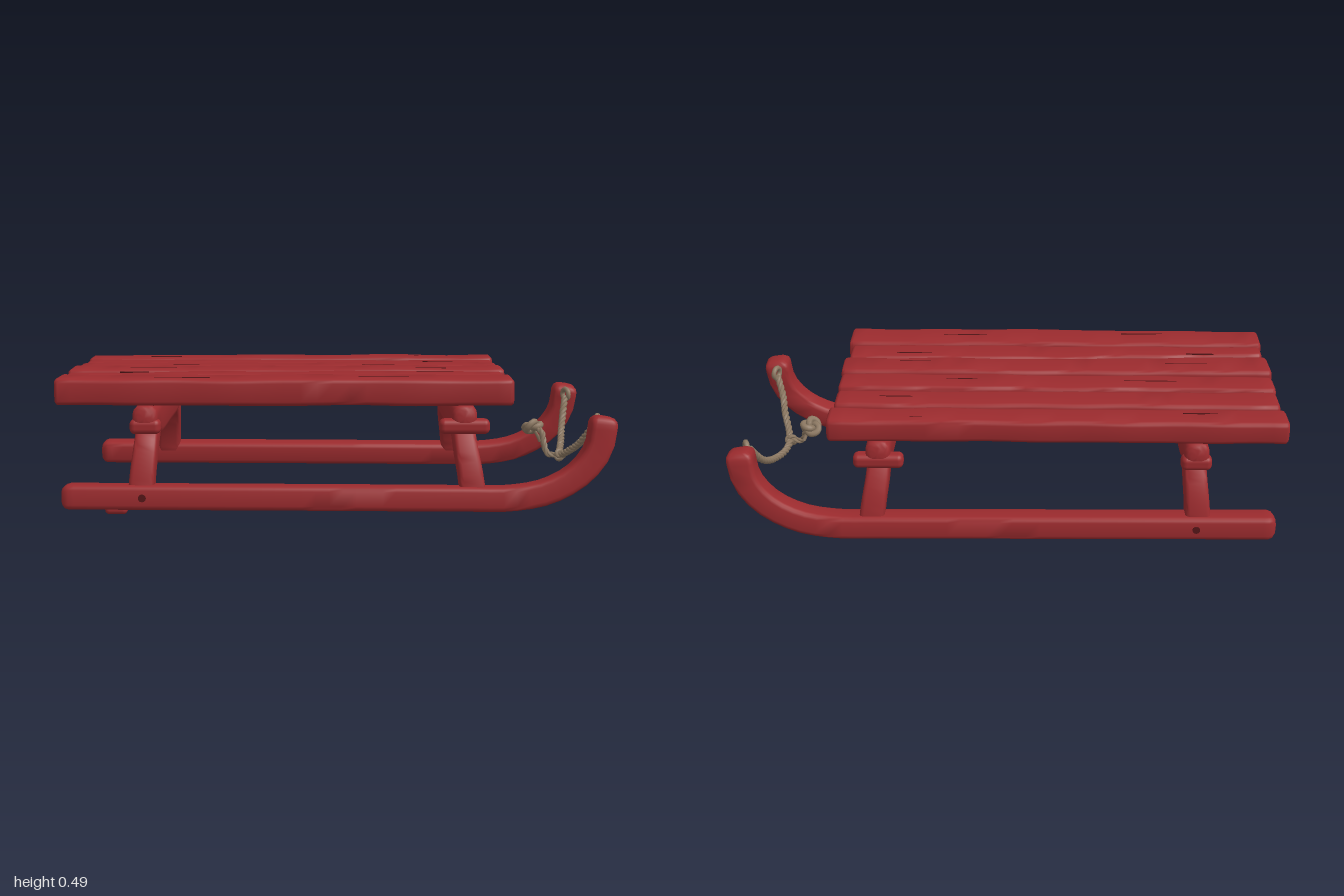
import * as THREE from 'three';
import { toCreasedNormals } from 'three/addons/utils/BufferGeometryUtils.js';
import { RoundedBoxGeometry } from 'three/addons/geometries/RoundedBoxGeometry.js';

const V = (x, y, z) => new THREE.Vector3(x, y, z);

function seeded(seed) {
  let s = seed;
  return () => (s = (s * 16807) % 2147483647) / 2147483647;
}

// Rounded bar along a path; half(u) gives [half size across, half size along "side"]
function bar(points, side, half, { n = 16, corner = 0.02, end = 0.02 } = {}) {
  const curve = new THREE.CatmullRomCurve3(points, false, 'centripetal');
  const length = curve.getLength();
  const stations = [];
  const tips = [0, 0.13, 0.5, 1].map(d => [d * end / length, end * (1 - Math.sqrt(1 - (1 - d) ** 2))]);
  tips.forEach(t => stations.push(t));
  for (let i = 1; i < n; i++) {
    const u = i / n;
    if (u > 1.2 * end / length && u < 1 - 1.2 * end / length) stations.push([u, 0]);
  }
  [...tips].reverse().forEach(([u, inset]) => stations.push([1 - u, inset]));

  const pos = [], index = [], ring = 16;
  for (const [u, inset] of stations) {
    const p = curve.getPointAt(u), t = curve.getTangentAt(u);
    const b = side.clone().addScaledVector(t, -side.dot(t)).normalize();
    const a = b.clone().cross(t);
    const [ha, hb] = half(u).map(h => h - inset);
    const c = Math.min(corner, ha * 0.9, hb * 0.9);
    for (let q = 0; q < 4; q++) {
      const sa = q === 0 || q === 3 ? 1 : -1, sb = q < 2 ? 1 : -1;
      for (let k = 0; k < 4; k++) {
        const w = (q + k / 3) * Math.PI / 2;
        const v = p.clone()
          .addScaledVector(a, sa * (ha - c) + c * Math.cos(w))
          .addScaledVector(b, sb * (hb - c) + c * Math.sin(w));
        pos.push(v.x, v.y, v.z);
      }
    }
  }
  const m = stations.length;
  for (let i = 0; i < m - 1; i++) for (let k = 0; k < ring; k++) {
    const p = i * ring + k, q = i * ring + (k + 1) % ring;
    index.push(p, q, p + ring, q, q + ring, p + ring);
  }
  // End caps
  const s = curve.getPointAt(0), e = curve.getPointAt(1), base = m * ring;
  pos.push(s.x, s.y, s.z, e.x, e.y, e.z);
  for (let k = 0; k < ring; k++) {
    const j = (k + 1) % ring;
    index.push(base, j, k, base + 1, base - ring + k, base - ring + j);
  }
  const g = new THREE.BufferGeometry();
  g.setAttribute('position', new THREE.Float32BufferAttribute(pos, 3));
  g.setIndex(index);
  return toCreasedNormals(g, 0.8);
}

// Twisted rope of three strands wound around a path
function rope(points, radius, turnsPerUnit) {
  const curve = new THREE.CatmullRomCurve3(points);
  const n = 90, f = curve.computeFrenetFrames(n), turns = curve.getLength() * turnsPerUnit;
  return [0, 1, 2].map(k => {
    const pts = [];
    for (let i = 0; i <= n; i++) {
      const w = (i / n * turns + k / 3) * Math.PI * 2;
      pts.push(curve.getPointAt(i / n)
        .addScaledVector(f.normals[i], Math.cos(w) * radius * 0.5)
        .addScaledVector(f.binormals[i], Math.sin(w) * radius * 0.5));
    }
    return new THREE.TubeGeometry(new THREE.CatmullRomCurve3(pts), 140, radius * 0.62, 6);
  });
}

export function createModel() {
  const model = new THREE.Group();
  const mat = (name, color) => Object.assign(new THREE.MeshStandardMaterial({ color }), { name });
  const red = mat('red painted wood', 0x9c2b2e);
  const dark = mat('dark wood crack', 0x561618);
  const hemp = mat('rope', 0x8c7862);
  const add = (name, geometry, material = red) => {
    const mesh = new THREE.Mesh(geometry, material);
    mesh.name = name;
    model.add(mesh);
    return mesh;
  };
  const rand = seeded(77);

  // Seat planks: z edges at the rear, z edges at the front, top height, x ends
  const planks = [
    [-0.393, -0.272, -0.396, -0.28, 0.474, -1, 0.63],
    [-0.255, -0.132, -0.255, -0.134, 0.471, -0.99, 0.62],
    [-0.13, -0.012, -0.13, -0.006, 0.477, -0.995, 0.62],
    [0.004, 0.15, 0, 0.125, 0.483, -1, 0.625],
    [0.172, 0.25, 0.13, 0.25, 0.48, -0.99, 0.61],
    [0.253, 0.388, 0.255, 0.4, 0.485, -1, 0.625],
  ];
  planks.forEach(([r0, r1, f0, f1, top, x0, x1], i) => {
    const pts = [];
    const hy = (top - 0.39) / 2;
    for (let k = 0; k <= 8; k++) {
      const t = k / 8, blend = Math.min(1, t * 2);
      const z = THREE.MathUtils.lerp((r0 + r1) / 2, (f0 + f1) / 2, blend);
      pts.push(V(THREE.MathUtils.lerp(x0, x1, t), 0.39 + hy + (rand() - 0.5) * 0.004, z + (rand() - 0.5) * 0.003));
    }
    const phase = rand() * 6;
    add('seatPlank' + (i + 1), bar(pts, V(0, 0, 1), u => [
      hy + 0.001 * Math.sin(u * 23 + phase),
      THREE.MathUtils.lerp(r1 - r0, f1 - f0, Math.min(1, u * 2)) / 2 + 0.002 * Math.sin(u * 31 + phase),
    ], { n: 28, corner: 0.016, end: 0.014 }));

    // Cracks in the grain
    for (let k = 0; k < 2; k++) {
      const len = 0.1 + rand() * 0.16;
      const crack = add('woodCrack', new THREE.CylinderGeometry(1, 1, 1, 4), dark);
      crack.scale.set(len / 2, 0.005, 0.003);
      crack.position.set(-0.75 + k * 0.75 + rand() * 0.4, top - 0.001, (f0 + f1) / 2 + (rand() - 0.5) * 0.05);
    }
  });

  // Cross beams under the seat, with legs and pegs on both sides
  for (const [name, x, foot, pegLength] of [['rear', -0.68, -0.7, 0.11], ['front', 0.45, 0.485, 0.18]]) {
    const beam = [[-0.41, 0.35], [-0.33, 0.342], [-0.24, 0.326], [0, 0.325], [0.24, 0.326], [0.33, 0.342], [0.41, 0.35]];
    add(name + 'CrossBeam', bar(beam.map(([z, y]) => V(x, y, z)), V(1, 0, 0),
      u => [0.044 + 0.024 * THREE.MathUtils.smoothstep(0.5 - Math.abs(u - 0.5), 0.04, 0.22), 0.044],
      { n: 20, corner: 0.03 }));
    for (const s of [1, -1]) {
      const at = (t, y, z) => V(THREE.MathUtils.lerp(foot, x, t), y, z * s);
      add(name + 'Leg', bar(
        [at(0, 0.06, 0.4), at(0.35, 0.15, 0.38), at(0.7, 0.22, 0.352), at(0.9, 0.28, 0.31), at(1, 0.325, 0.25)],
        V(1, 0, 0), u => [0.036 + 0.01 * u, 0.046 - 0.008 * u], { corner: 0.016 }));
      const peg = add(name + 'BeamPeg', new RoundedBoxGeometry(pegLength, 0.054, 0.054, 3, 0.02));
      peg.position.set(x, 0.317, 0.387 * s);
    }
  }

  for (const s of [1, -1]) {
    // Runners, leaning inward and curling up at the front
    const path = [[-0.98, 0.068], [-0.5, 0.065], [0, 0.062], [0.45, 0.059], [0.62, 0.06],
      [0.75, 0.085], [0.86, 0.148], [0.925, 0.235], [0.945, 0.353]];
    add('runner', bar(path.map(([x, y]) => V(x, y, s * (0.41 - 0.075 * y))), V(0, 0.075, s),
      u => [0.044 + 0.004 * THREE.MathUtils.smoothstep(u, 0.85, 1), 0.045], { n: 44, corner: 0.018, end: 0.028 }));

    // Blocks inside the runner tails and pegs on their outer faces
    add('runnerBlock', new RoundedBoxGeometry(0.08, 0.08, 0.08, 3, 0.016)).position.set(-0.79, 0.04, 0.375 * s);
    const peg = add('runnerPeg', new THREE.CylinderGeometry(0.014, 0.014, 0.008, 12), dark);
    peg.rotation.x = Math.PI / 2;
    peg.position.set(-0.69, 0.07, 0.449 * s);

    // Rope eyes at the runner tips
    const eye = add('ropeEye', new THREE.TorusGeometry(0.021, 0.01, 8, 20), hemp);
    eye.rotation.y = Math.PI / 2 - 0.4 * s;
    eye.position.set(0.935, 0.32, 0.312 * s);
  }

  // Pull rope hanging between the runner tips
  const pull = [V(0.93, 0.31, 0.3), V(0.905, 0.25, 0.25), V(0.89, 0.208, 0.19), V(0.855, 0.148, 0.07),
    V(0.86, 0.138, 0), V(0.885, 0.16, -0.11), V(0.905, 0.212, -0.21), V(0.93, 0.31, -0.3)];
  rope(pull, 0.013, 14).forEach(g => add('pullRope', g, hemp));

  // Knot, tail and knotted handle
  const knot = add('ropeKnot', new THREE.TorusKnotGeometry(0.012, 0.008, 48, 6), hemp);
  knot.position.set(0.85, 0.146, 0.068);
  const tail = [V(0.85, 0.146, 0.065), V(0.805, 0.15, 0.062), V(0.79, 0.19, 0.05), V(0.785, 0.225, 0.035), V(0.76, 0.25, 0.01)];
  rope(tail, 0.011, 14).forEach(g => add('ropeTail', g, hemp));
  const handle = add('handleKnot', new THREE.TorusKnotGeometry(0.022, 0.013, 64, 8), hemp);
  handle.position.set(0.752, 0.243, 0);
  handle.rotation.set(1.1, 0.3, 0);
  const looseEnd = new THREE.CatmullRomCurve3([V(0.76, 0.23, 0.01), V(0.775, 0.205, 0), V(0.785, 0.185, -0.008)]);
  add('ropeLooseEnd', new THREE.TubeGeometry(looseEnd, 10, 0.007, 6), hemp);

  return model;
}
